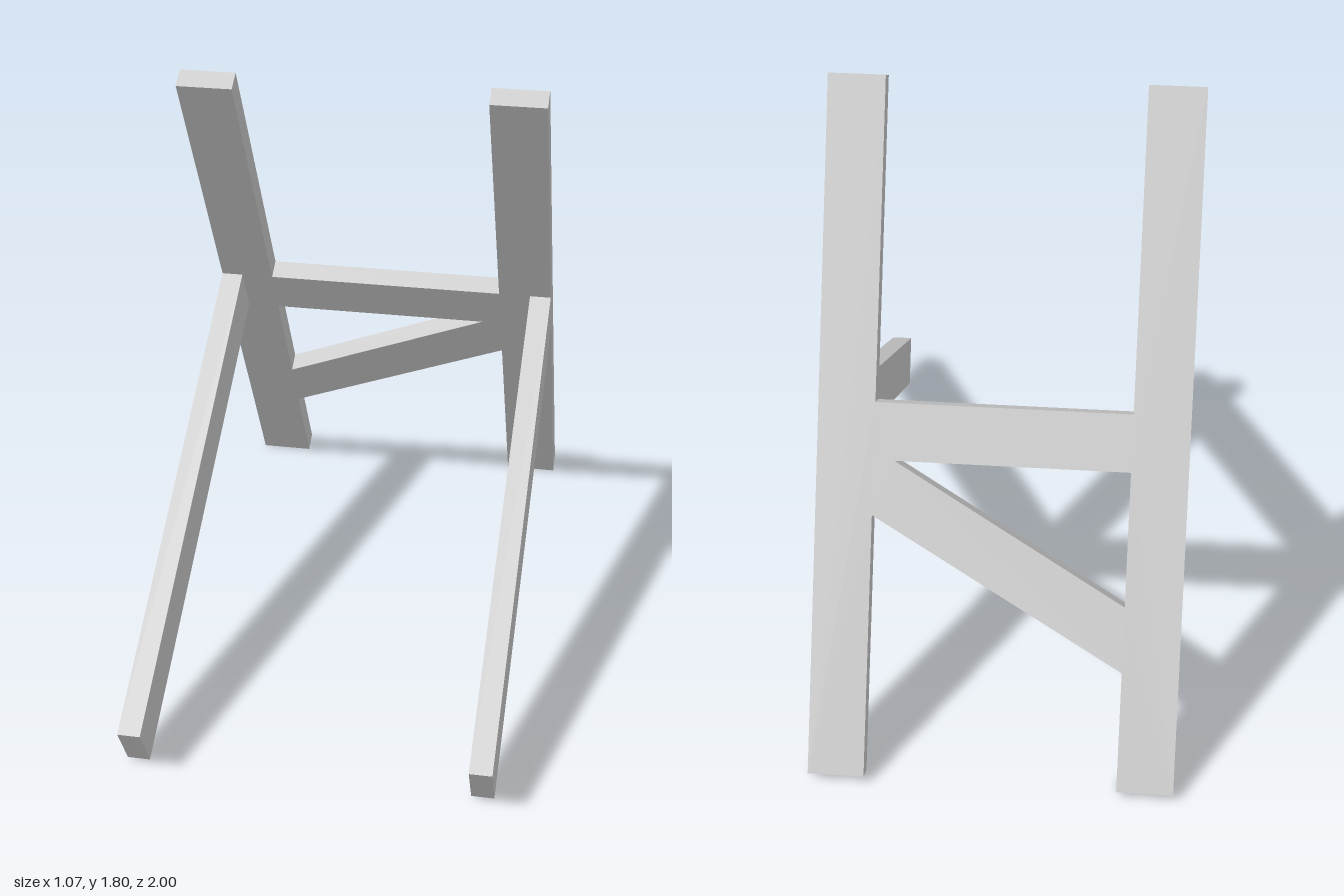
import * as THREE from 'three';

export function createModel() {
  const model = new THREE.Group();
  model.name = 'leaningFrame';
  const material = new THREE.MeshStandardMaterial({ color: 0xcccccc, flatShading: true });

  const outer = 0.535, inner = 0.37;        // post sides
  const length = 2.04, thickness = 0.0626;  // post length and depth
  const railLow = 0.941, railHigh = 1.109;  // cross rail, measured along the posts

  // Everything is built upright, then leaned forward by 30 degrees
  const tilted = new THREE.Group();
  tilted.name = 'tiltedAssembly';
  tilted.rotation.x = Math.PI / 6;
  tilted.position.z = -0.946;
  model.add(tilted);

  // Back frame: two posts joined by a cross rail and a diagonal brace
  const points = (list) => list.map(([x, y]) => new THREE.Vector2(x, y));
  const outline = new THREE.Shape(points([
    [-outer, 0], [-inner, 0], [-inner, 0.354], [inner, 0.779], [inner, 0], [outer, 0],
    [outer, length], [inner, length], [inner, railHigh], [-inner, railHigh],
    [-inner, length], [-outer, length],
  ]));
  outline.holes.push(new THREE.Path(points([
    [-inner, 0.548], [-inner, railLow], [0.31, railLow],
  ])));
  const frameGeometry = new THREE.ExtrudeGeometry(outline, { depth: thickness, bevelEnabled: false });
  frameGeometry.translate(0, 0, -thickness);
  const frame = new THREE.Mesh(frameGeometry, material);
  frame.name = 'backFrame';
  tilted.add(frame);

  // Front legs, square to the frame at rail height
  const legWidth = 0.066, legLength = 1.607;
  for (const side of [-1, 1]) {
    const leg = new THREE.Mesh(
      new THREE.BoxGeometry(legWidth, railHigh - railLow, legLength), material);
    leg.name = side > 0 ? 'leftFrontLeg' : 'rightFrontLeg';
    leg.position.set(side * (outer - legWidth / 2), (railLow + railHigh) / 2, legLength / 2);
    tilted.add(leg);
  }
  return model;
}
